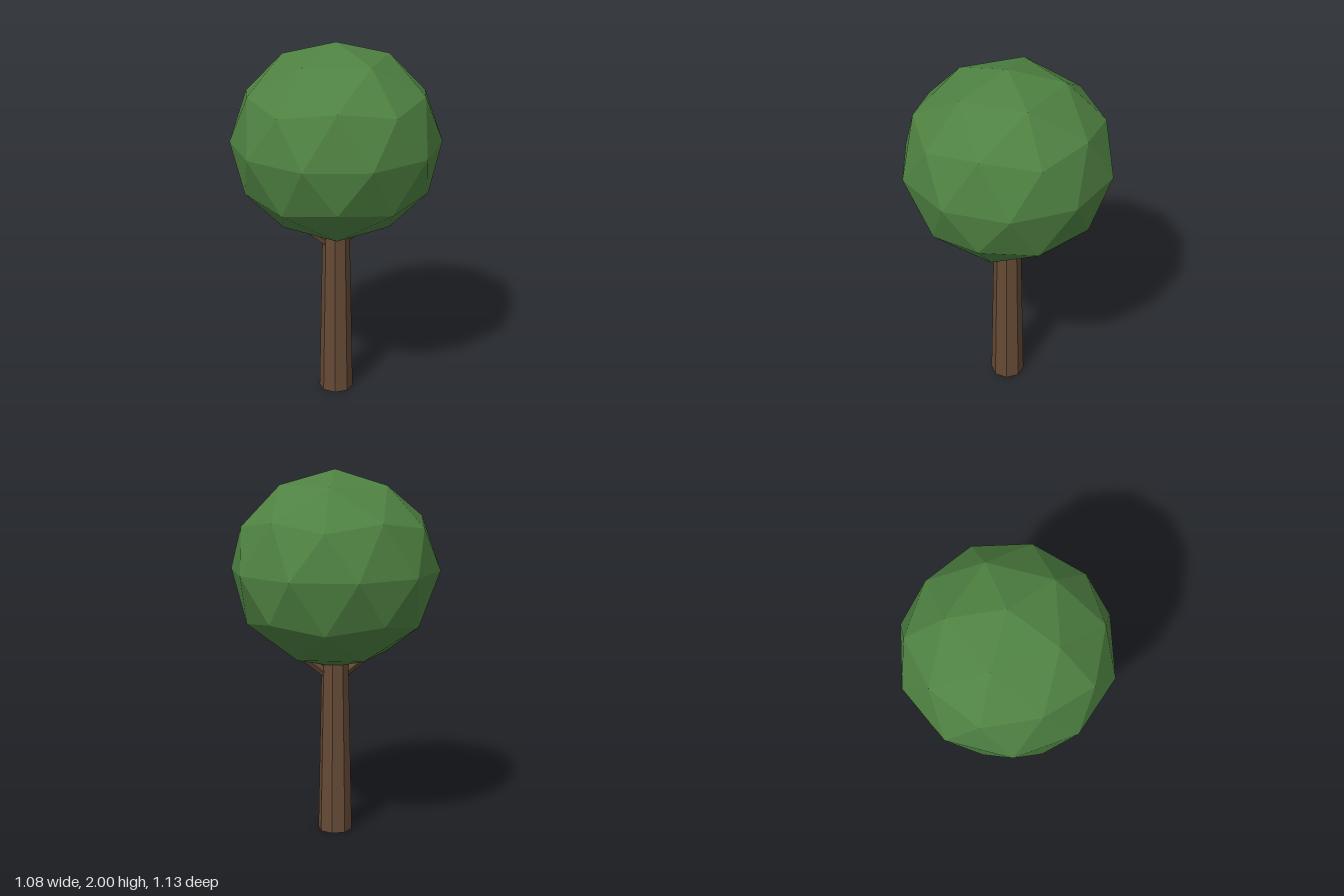
import * as THREE from 'three';

const bark = new THREE.MeshStandardMaterial({ name: 'bark', color: 0x664a35, flatShading: true });
const leaf = new THREE.MeshStandardMaterial({ name: 'leafGreen', color: 0x4f8242, flatShading: true });

// Tapered round limb between two points
function limb(name, from, to, r0, r1, sides, turn) {
  const dir = to.clone().sub(from);
  const geo = new THREE.CylinderGeometry(r1, r0, dir.length(), sides);
  geo.rotateY(turn);
  const mesh = new THREE.Mesh(geo, bark);
  mesh.name = name;
  mesh.position.copy(from).add(to).multiplyScalar(0.5);
  mesh.quaternion.setFromUnitVectors(new THREE.Vector3(0, 1, 0), dir.normalize());
  return mesh;
}

export function createModel() {
  const tree = new THREE.Group();
  tree.name = 'tree';
  const v = (x, y, z) => new THREE.Vector3(x, y, z);

  // Eight-sided trunk with flat sides to the front
  tree.add(limb('trunk', v(0, 0, 0), v(0, 1.0, 0), 0.095, 0.0735, 8, Math.PI / 8));

  // Two short branches reaching into the crown
  for (const [name, s] of [['leftBranch', 1], ['rightBranch', -1]]) {
    tree.add(limb(name, v(s * 0.03, 0.88, 0), v(s * 0.27, 1.07, -0.03), 0.029, 0.021, 6, 0));
  }

  // Faceted crown: subdivided icosahedron standing on a corner, slightly flattened
  const geo = new THREE.IcosahedronGeometry(0.567, 1);
  geo.rotateZ(-Math.atan(2 / (1 + Math.sqrt(5))));
  geo.scale(1, 0.535 / 0.567, 1);
  geo.computeVertexNormals();
  const crown = new THREE.Mesh(geo, leaf);
  crown.name = 'crown';
  crown.position.y = 1.465;
  tree.add(crown);

  return tree;
}
